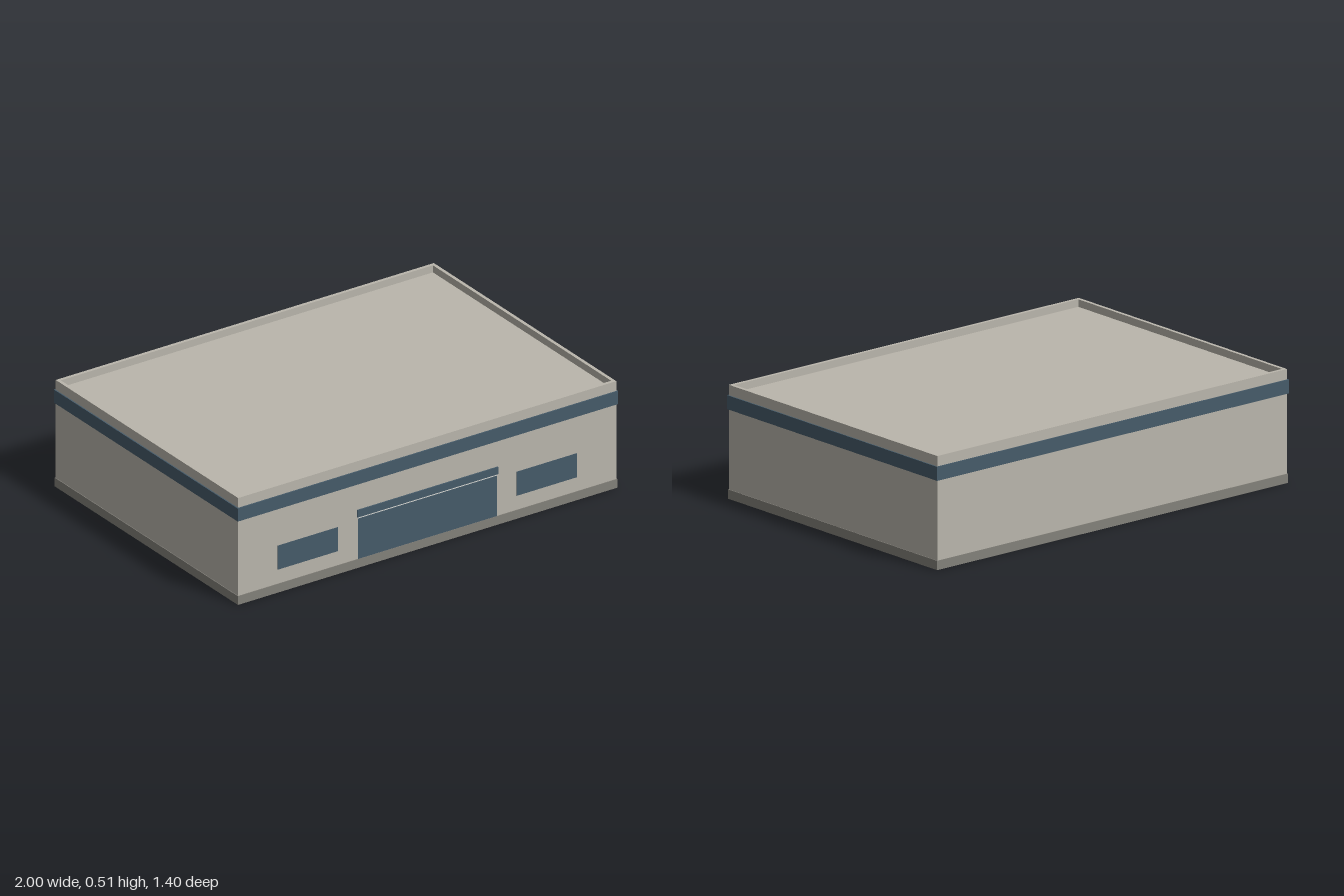
import * as THREE from 'three';

const paint = (name, color) => {
  const m = new THREE.MeshStandardMaterial({ color });
  m.name = name;
  return m;
};

export function createModel() {
  const model = new THREE.Group();
  const stone = paint('warm grey wall', 0xbab6ac);
  const navy = paint('slate blue', 0x465b6a);
  const plinthGrey = paint('dark grey plinth', 0x83817a);
  const pale = paint('pale trim', 0xdcdcd8);

  const add = (name, geometry, material) => {
    const mesh = new THREE.Mesh(geometry, material);
    mesh.name = name;
    model.add(mesh);
  };

  // Rectangular frame around the building, hx/hz are outer half sizes
  const ring = (name, hx, hz, t, y0, y1, material) => {
    const rect = (path, x, z) =>
      path.moveTo(-x, -z).lineTo(x, -z).lineTo(x, z).lineTo(-x, z).closePath();
    const shape = rect(new THREE.Shape(), hx, hz);
    shape.holes.push(rect(new THREE.Path(), hx - t, hz - t));
    const g = new THREE.ExtrudeGeometry(shape, { depth: y1 - y0, bevelEnabled: false });
    g.rotateX(-Math.PI / 2).translate(0, y0, 0);
    add(name, g, material);
  };

  // Box given by its limits
  const box = (name, x0, x1, y0, y1, z0, z1, material) => {
    const g = new THREE.BoxGeometry(x1 - x0, y1 - y0, z1 - z0);
    g.translate((x0 + x1) / 2, (y0 + y1) / 2, (z0 + z1) / 2);
    add(name, g, material);
  };

  // Hollow shell, open underneath
  ring('walls', 0.994, 0.694, 0.003, 0, 0.48, stone);
  ring('parapet', 0.994, 0.694, 0.016, 0.48, 0.515, stone);
  box('roof', -0.992, 0.992, 0.476, 0.481, -0.692, 0.692, stone);

  // Bands wrapped around the walls
  ring('plinth', 0.997, 0.697, 0.004, 0, 0.042, plinthGrey);
  ring('fasciaBand', 1, 0.7, 0.007, 0.405, 0.468, navy);

  // Entrance on the front
  box('entranceDoors', -0.365, 0.365, 0.042, 0.238, 0.692, 0.6955, navy);
  box('entranceTrim', -0.368, 0.368, 0.238, 0.245, 0.692, 0.696, pale);
  box('entranceCanopy', -0.37, 0.37, 0.245, 0.28, 0.692, 0.7, navy);

  // Windows either side of the entrance
  for (const [name, c] of [['leftWindow', 0.628], ['rightWindow', -0.628]])
    box(name, c - 0.158, c + 0.158, 0.11, 0.226, 0.692, 0.6955, navy);

  return model;
}
